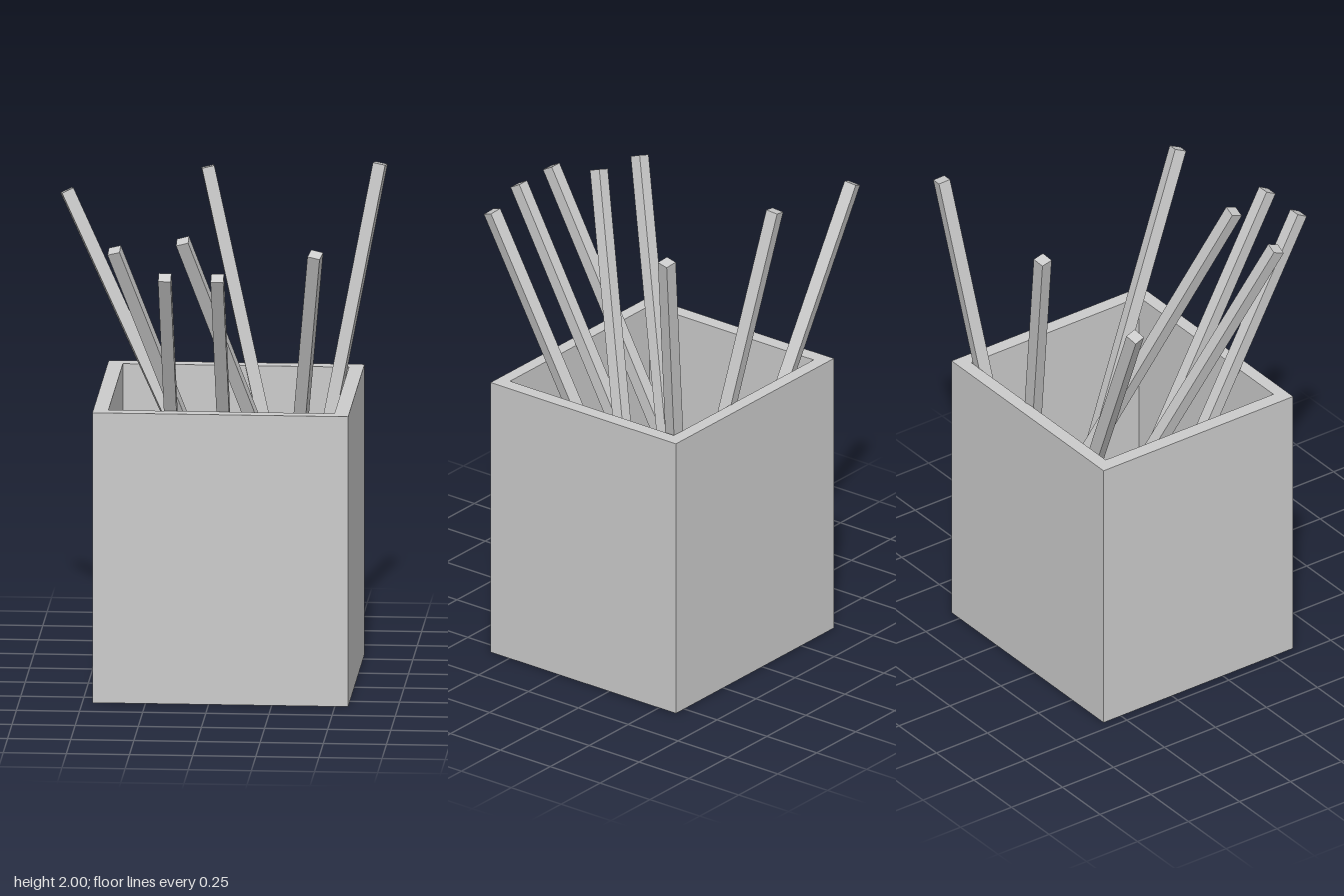
import * as THREE from 'three';

const material = new THREE.MeshStandardMaterial({ color: 0xcccccc, flatShading: true });
const UP = new THREE.Vector3(0, 1, 0);

// Square stick between two end centres, twisted about its own axis
function stick(name, foot, tip, twist) {
  const a = new THREE.Vector3(...foot);
  const b = new THREE.Vector3(...tip);
  const dir = b.clone().sub(a);
  const mesh = new THREE.Mesh(new THREE.BoxGeometry(0.05, dir.length(), 0.05), material);
  mesh.name = name;
  mesh.position.copy(a).add(b).multiplyScalar(0.5);
  mesh.quaternion
    .setFromUnitVectors(UP, dir.normalize())
    .multiply(new THREE.Quaternion().setFromAxisAngle(UP, twist));
  return mesh;
}

// Counter-clockwise rectangle in the plan plane (plan y = -z)
const rect = (x0, x1, z0, z1) => [[x0, -z1], [x1, -z1], [x1, -z0], [x0, -z0]].map((p) => new THREE.Vector2(...p));

export function createModel() {
  const model = new THREE.Group();
  model.name = 'stickHolder';

  // Open square box: four walls and a floor
  const height = 1.175, floorY = 0.055;
  const holder = new THREE.Group();
  holder.name = 'holder';
  const inner = rect(-0.4, 0.495, -0.53, 0.292);
  const outline = new THREE.Shape(rect(-0.46, 0.553, -0.585, 0.345));
  outline.holes.push(new THREE.Path([...inner].reverse()));
  const addSlab = (name, shape, depth) => {
    const geometry = new THREE.ExtrudeGeometry(shape, { depth, bevelEnabled: false });
    geometry.rotateX(-Math.PI / 2);
    const mesh = new THREE.Mesh(geometry, material);
    mesh.name = name;
    holder.add(mesh);
  };
  addSlab('walls', outline, height);
  addSlab('floor', new THREE.Shape(inner), floorY);
  model.add(holder);

  // Sticks fanning out of the box: foot x, z; tip x, y, z; twist
  const sticks = [
    [0.22, -0.39, -0.623, 1.87, -0.55, 0.24],
    [0.37, -0.38, -0.068, 1.965, -0.595, 0.13],
    [0.25, -0.39, 0.615, 1.99, -0.588, -0.14],
    [0.21, -0.37, -0.375, 1.83, 0.323, -0.1],
    [0.485, -0.38, -0.105, 1.87, 0.316, -0.06],
    [-0.156, -0.36, -0.156, 1.785, 0.595, 0],
    [0.052, -0.36, 0.052, 1.785, 0.595, 0],
    [0.235, -0.36, 0.429, 1.85, 0.434, -0.21],
  ];
  sticks.forEach(([fx, fz, tx, ty, tz, twist], i) => {
    model.add(stick(`stick${i + 1}`, [fx, floorY, fz], [tx, ty, tz], twist));
  });
  return model;
}
